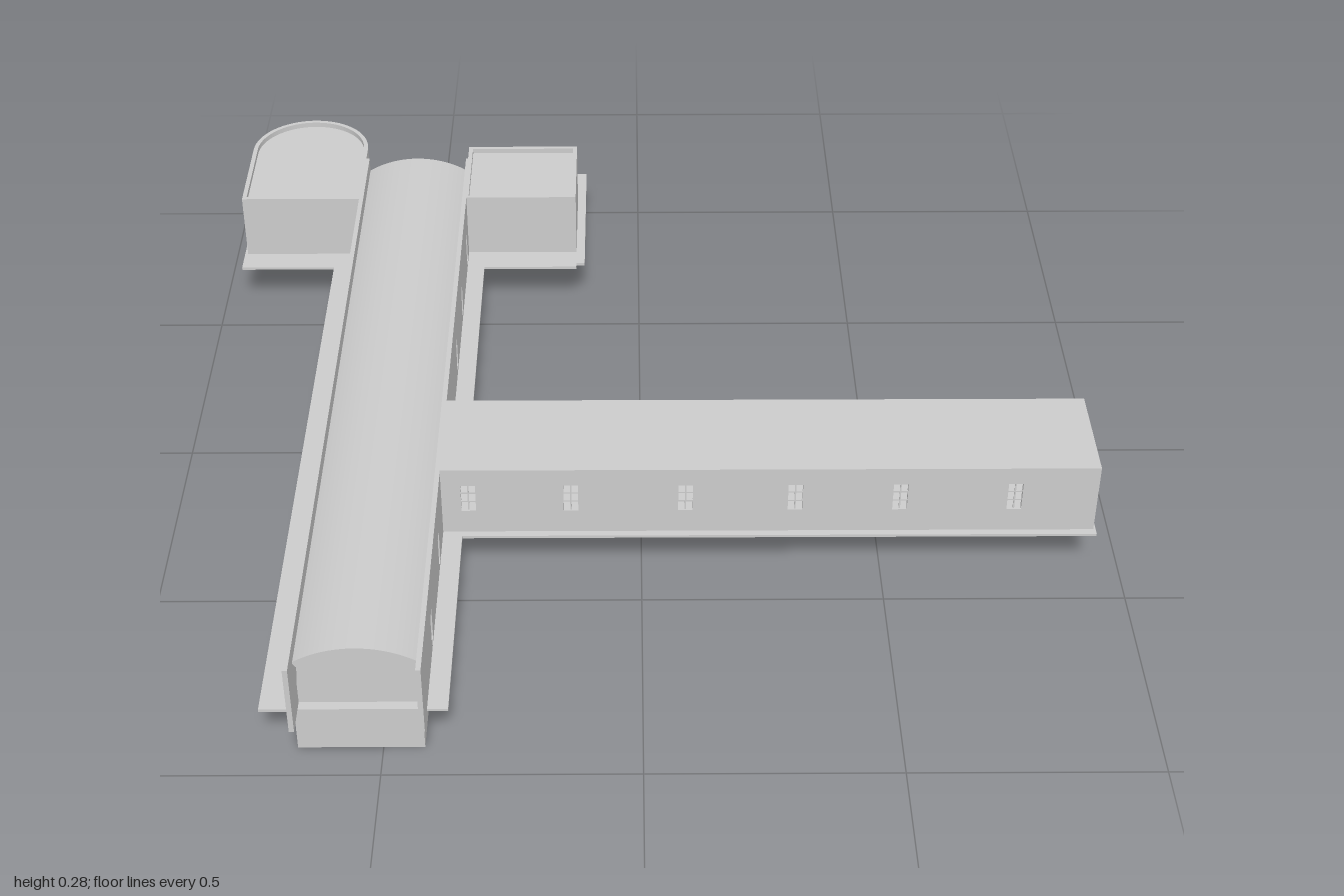
import * as THREE from 'three';

const FLOOR = 0.115, TOP = 0.27, T = 0.01;

export function createModel() {
  const root = new THREE.Group();
  root.name = 'building';
  const mat = new THREE.MeshStandardMaterial({ color: 0xcccccc, side: THREE.DoubleSide });

  const add = (parent, name, geo) => {
    const m = new THREE.Mesh(geo, mat);
    m.name = name;
    parent.add(m);
    return m;
  };
  // box given by its min and max corners
  const box = (parent, name, x0, x1, y0, y1, z0, z1) => {
    const m = add(parent, name, new THREE.BoxGeometry(x1 - x0, y1 - y0, z1 - z0));
    m.position.set((x0 + x1) / 2, (y0 + y1) / 2, (z0 + z1) / 2);
    return m;
  };
  // plan outline given as (x, z) points, raised from y0 to y1
  const plan = (parent, name, shape, y0, y1) => {
    const g = new THREE.ExtrudeGeometry(shape, { depth: y1 - y0, bevelEnabled: false, curveSegments: 32 });
    g.rotateX(-Math.PI / 2);
    const m = add(parent, name, g);
    m.position.y = y0;
    return m;
  };
  const outline = (pts) => new THREE.Shape(pts.map(([x, z]) => new THREE.Vector2(x, -z)));

  // glazing bars, with an optional pane
  function windowFrame(parent, cx, y0, y1, w, pane) {
    const h = y1 - y0, b = 0.003;
    box(parent, 'windowMullion', cx - b / 2, cx + b / 2, y0, y1, -b / 2, b / 2);
    for (const f of [1 / 3, 2 / 3])
      box(parent, 'windowBar', cx - w / 2, cx + w / 2, y0 + h * f - b / 2, y0 + h * f + b / 2, -b / 2, b / 2);
    if (pane) box(parent, 'windowPane', cx - w / 2, cx + w / 2, y0, y1, -0.001, 0.001);
  }

  // upright wall along local x from a to b, pierced by windows
  function wall(name, a, b, top, win = { at: [] }) {
    const g = new THREE.Group();
    g.name = name;
    const s = new THREE.Shape();
    s.moveTo(a, FLOOR).lineTo(b, FLOOR).lineTo(b, top).lineTo(a, top).closePath();
    for (const c of win.at) {
      const l = c - win.w / 2, r = c + win.w / 2, h = new THREE.Path();
      h.moveTo(l, win.y0).lineTo(l, win.y1).lineTo(r, win.y1).lineTo(r, win.y0).closePath();
      s.holes.push(h);
      windowFrame(g, c, win.y0, win.y1, win.w, win.pane);
    }
    const geo = new THREE.ExtrudeGeometry(s, { depth: T, bevelEnabled: false });
    geo.translate(0, 0, -T / 2);
    add(g, name + 'Panel', geo);
    root.add(g);
    return g;
  }
  // the same wall turned to run along z
  const wallZ = (name, x, ...args) => {
    const g = wall(name, ...args);
    g.rotation.y = -Math.PI / 2;
    g.position.x = x;
    return g;
  };

  // ground slab and basement
  plan(root, 'groundSlab', outline([
    [-0.95, -1], [-0.13, -1], [-0.13, -0.59], [-0.15, -0.59], [-0.15, -0.575], [-0.37, -0.575],
    [-0.37, 0.15], [0.94, 0.15], [0.94, 0.43], [-0.37, 0.43], [-0.37, 0.94], [-0.73, 0.94],
    [-0.73, -0.575], [-0.95, -0.575]]), 0.109, FLOOR);
  box(root, 'basement', -0.665, -0.42, 0, 0.107, 0.455, 0.925);

  // long hall: side walls, end walls and barrel roof
  const hallWin = { at: [-0.58, -0.365, -0.15, 0.085, 0.3, 0.525, 0.76], w: 0.03, y0: 0.125, y1: 0.195, pane: true };
  wallZ('hallRightWall', -0.66, -0.82, 1, TOP, hallWin);
  wallZ('hallLeftWall', -0.415, -0.82, 1, TOP, hallWin);

  const cx = -0.5375, half = 0.12, rise = 0.035;
  const R = (half * half + rise * rise) / (2 * rise), cy = TOP - R, ang = Math.asin(half / R);
  const roof = new THREE.Shape();
  roof.absarc(cx, cy, R, Math.PI / 2 - ang, Math.PI / 2 + ang, false);
  roof.absarc(cx, cy, R - 0.014, Math.PI / 2 + ang, Math.PI / 2 - ang, true);
  const roofGeo = new THREE.ExtrudeGeometry(roof, { depth: 1.76, bevelEnabled: false, curveSegments: 24 });
  add(root, 'hallBarrelRoof', roofGeo).position.z = -0.82;

  const endShape = () => {
    const s = new THREE.Shape();
    s.moveTo(cx - half, FLOOR).lineTo(cx + half, FLOOR);
    s.absarc(cx, cy, R - 0.012, Math.PI / 2 - ang, Math.PI / 2 + ang, false);
    return s;
  };
  const endGeo = (s) => new THREE.ExtrudeGeometry(s, { depth: T, bevelEnabled: false, curveSegments: 24 });
  add(root, 'hallFrontWall', endGeo(endShape())).position.z = 0.91;
  const back = endShape(), door = new THREE.Path();
  door.moveTo(cx - 0.025, 0.14).lineTo(cx - 0.025, 0.22).lineTo(cx + 0.025, 0.22).lineTo(cx + 0.025, 0.14).closePath();
  back.holes.push(door);
  add(root, 'hallBackWall', endGeo(back)).position.z = -0.81;
  const backWindow = new THREE.Group();
  backWindow.name = 'hallBackWindow';
  windowFrame(backWindow, cx, 0.14, 0.22, 0.05, true);
  backWindow.position.z = -0.805;
  root.add(backWindow);

  // side wing with windows facing each other
  const wingWin = { at: [-0.355, -0.145, 0.09, 0.315, 0.53, 0.765], w: 0.03, y0: 0.17, y1: 0.235 };
  for (const [name, z] of [['wingFrontWall', 0.41], ['wingBackWall', 0.182]])
    wall(name, -0.41, 0.935, 0.272, wingWin).position.z = z;
  wallZ('wingEndWall', 0.93, 0.187, 0.405, 0.272);
  box(root, 'wingRoof', -0.41, 0.935, 0.266, 0.275, 0.177, 0.415);

  // square block at the back, roof set below its parapet
  for (const [name, z] of [['blockFrontWall', -0.645], ['blockBackWall', -0.87]])
    wall(name, -0.415, -0.15, TOP).position.z = z;
  wallZ('blockLeftWall', -0.155, -0.865, -0.65, TOP);
  wallZ('blockRightWall', -0.41, -0.865, -0.65, TOP);
  box(root, 'blockRoof', -0.41, -0.155, 0.25, 0.258, -0.87, -0.645);

  // round-ended room: straight walls, then a half ring of windows
  const ax = -0.803, az = -0.865, r = 0.142 - 0.007;
  const RO = 0.14, RI = RO - T, wy0 = 0.13, wy1 = 0.197;
  const roomWin = { at: [-0.81, -0.7], w: 0.035, y0: wy0, y1: wy1 };
  wallZ('roundRoomRightWall', ax - r, az, -0.635, TOP, roomWin);
  wallZ('roundRoomLeftWall', ax + r, az, -0.635, TOP);
  wall('roundRoomFrontWall', ax - r, ax + r, TOP).position.z = -0.64;

  const sector = (name, a0, a1, y0, y1) => {
    const s = new THREE.Shape();
    s.absarc(ax, -az, RO, a0, a1, false);
    s.absarc(ax, -az, RI, a1, a0, true);
    plan(root, name, s, y0, y1);
  };
  sector('roundWallSill', 0, Math.PI, FLOOR, wy0);
  sector('roundWallHead', 0, Math.PI, wy1, TOP);
  const N = 7, step = Math.PI / (N + 0.5), hw = 0.14;
  let edge = 0;
  for (let i = 0; i < N; i++) {
    const a = Math.PI / 2 + (i - (N - 1) / 2) * step;
    sector('roundWallPier', edge, a - hw, wy0, wy1);
    edge = a + hw;
    const g = new THREE.Group();
    g.name = 'roundWallWindow';
    windowFrame(g, 0, wy0, wy1, 2 * hw * RI);
    g.position.set(ax + Math.cos(a) * (RO - T / 2), 0, az - Math.sin(a) * (RO - T / 2));
    g.rotation.y = a + Math.PI / 2;
    root.add(g);
  }
  sector('roundWallPier', edge, Math.PI, wy0, wy1);

  const lid = new THREE.Shape();
  lid.moveTo(ax - r, 0.64).lineTo(ax + r, 0.64);
  lid.absarc(ax, -az, r, 0, Math.PI, false);
  plan(root, 'roundRoomRoof', lid, 0.25, 0.258);

  return root;
}
